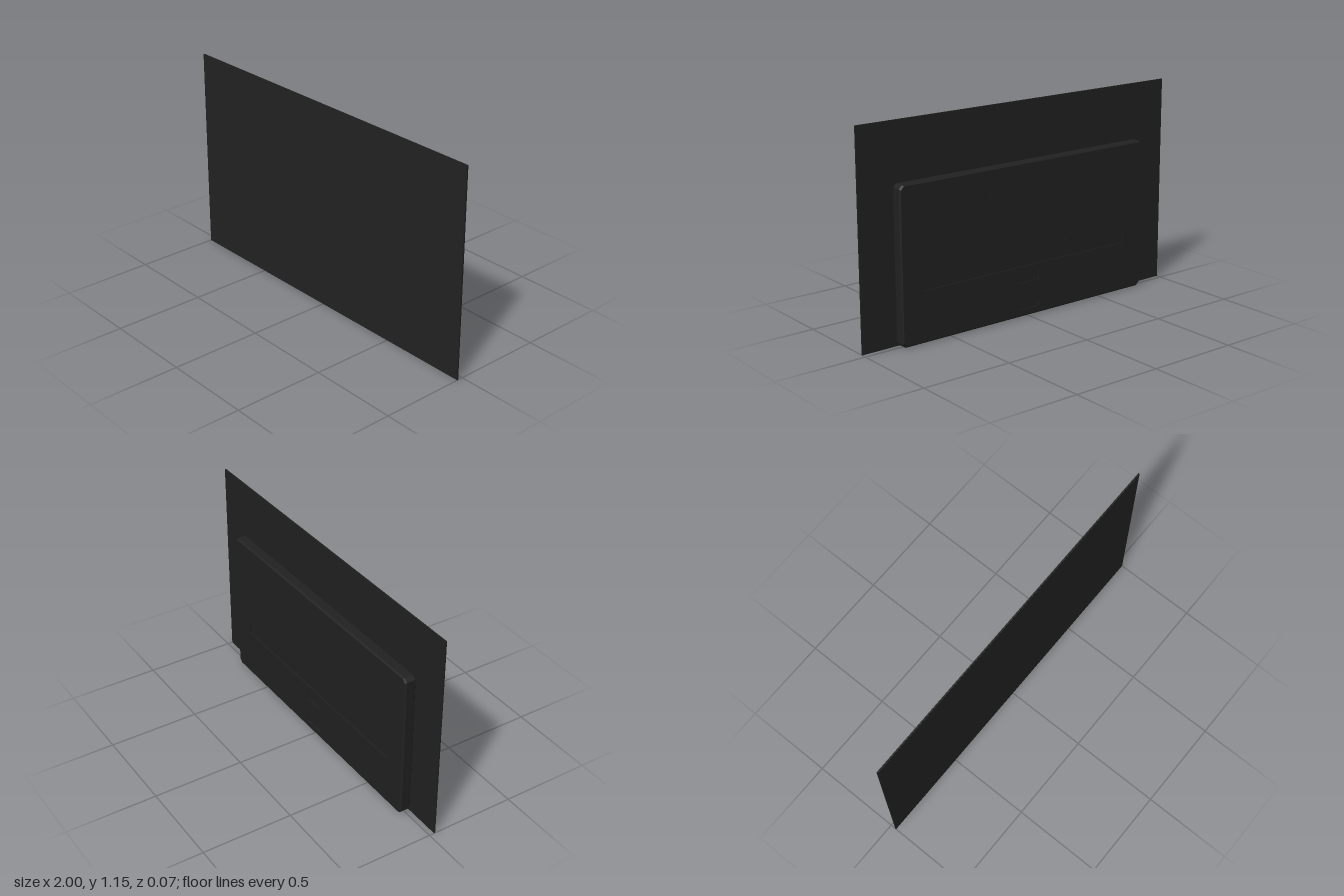
import * as THREE from 'three';

const frameMat = new THREE.MeshStandardMaterial({ color: 0x212121 });
frameMat.name = 'black casing';
const screenMat = new THREE.MeshStandardMaterial({ color: 0x222222 });
screenMat.name = 'dark screen';

// Housing outline and the depths used behind the panel
const HALF = 0.8, BOTTOM = 0.004, TOP = 0.838, CUT = 0.018;
const BACK = -0.035, FLOOR = -0.029, BEVEL = 0.007;

// Rectangle with clipped corners, shrunk by an inset
function outline(inset) {
  const x = HALF - inset, b = BOTTOM + inset, t = TOP - inset, c = CUT;
  return [
    [x, b + c], [x, t - c], [x - c, t], [c - x, t],
    [-x, t - c], [-x, b + c], [c - x, b], [x - c, b],
  ].map(([px, py]) => new THREE.Vector2(px, py));
}

// Flat-faced band joining outlines at successive depths, front to back
function bandGeometry(rings) {
  const pos = [];
  for (let r = 0; r < rings.length - 1; r++) {
    const [za, ia] = rings[r], [zb, ib] = rings[r + 1];
    const a = outline(ia), b = outline(ib);
    for (let i = 0; i < a.length; i++) {
      const j = (i + 1) % a.length;
      const p = [a[i].x, a[i].y, za], q = [a[j].x, a[j].y, za];
      const s = [b[j].x, b[j].y, zb], t = [b[i].x, b[i].y, zb];
      pos.push(...p, ...s, ...q, ...p, ...t, ...s);
    }
  }
  const g = new THREE.BufferGeometry();
  g.setAttribute('position', new THREE.Float32BufferAttribute(pos, 3));
  g.computeVertexNormals();
  return g;
}

function rectHole(halfWidth, y0, y1) {
  return new THREE.Path([
    new THREE.Vector2(-halfWidth, y0), new THREE.Vector2(-halfWidth, y1),
    new THREE.Vector2(halfWidth, y1), new THREE.Vector2(halfWidth, y0),
  ]);
}

export function createModel() {
  const group = new THREE.Group();
  const add = (name, geometry, material, x = 0, y = 0, z = 0) => {
    const mesh = new THREE.Mesh(geometry, material);
    mesh.name = name;
    mesh.position.set(x, y, z);
    group.add(mesh);
    return mesh;
  };

  // Thin display panel with a screen sheet on its front
  add('displayPanel', new THREE.BoxGeometry(2, 1.15, 0.007), frameMat, 0, 0.575, 0.0315);
  add('screen', new THREE.BoxGeometry(1.99, 1.138, 0.001), screenMat, 0, 0.578, 0.0355);

  // Bevelled sides of the rear housing
  add('housingSides', bandGeometry([
    [0.028, BEVEL], [0.021, 0], [BACK + BEVEL, 0], [BACK, BEVEL],
  ]), frameMat);

  // Back cover, pierced by the long channel, two sockets and four mounting holes
  const cover = new THREE.Shape(outline(BEVEL));
  cover.holes.push(
    rectHole(0.67, 0.28, 0.334),
    rectHole(0.068, 0.191, 0.251),
    rectHole(0.068, 0.044, 0.076),
  );
  for (const x of [-0.247, 0.247]) {
    for (const y of [0.378, 0.707]) {
      cover.holes.push(new THREE.Path().absarc(x, y, 0.005, 0, Math.PI * 2, true));
    }
  }
  add('backCover', new THREE.ExtrudeGeometry(cover, {
    depth: FLOOR - BACK, bevelEnabled: false, curveSegments: 8,
  }), frameMat, 0, 0, BACK);

  // Floor seen inside the recesses
  const core = new THREE.BoxGeometry(1.56, 0.79, 0.05);
  add('recessFloor', core, frameMat, 0, (BOTTOM + TOP) / 2, FLOOR + 0.025);

  return group;
}
